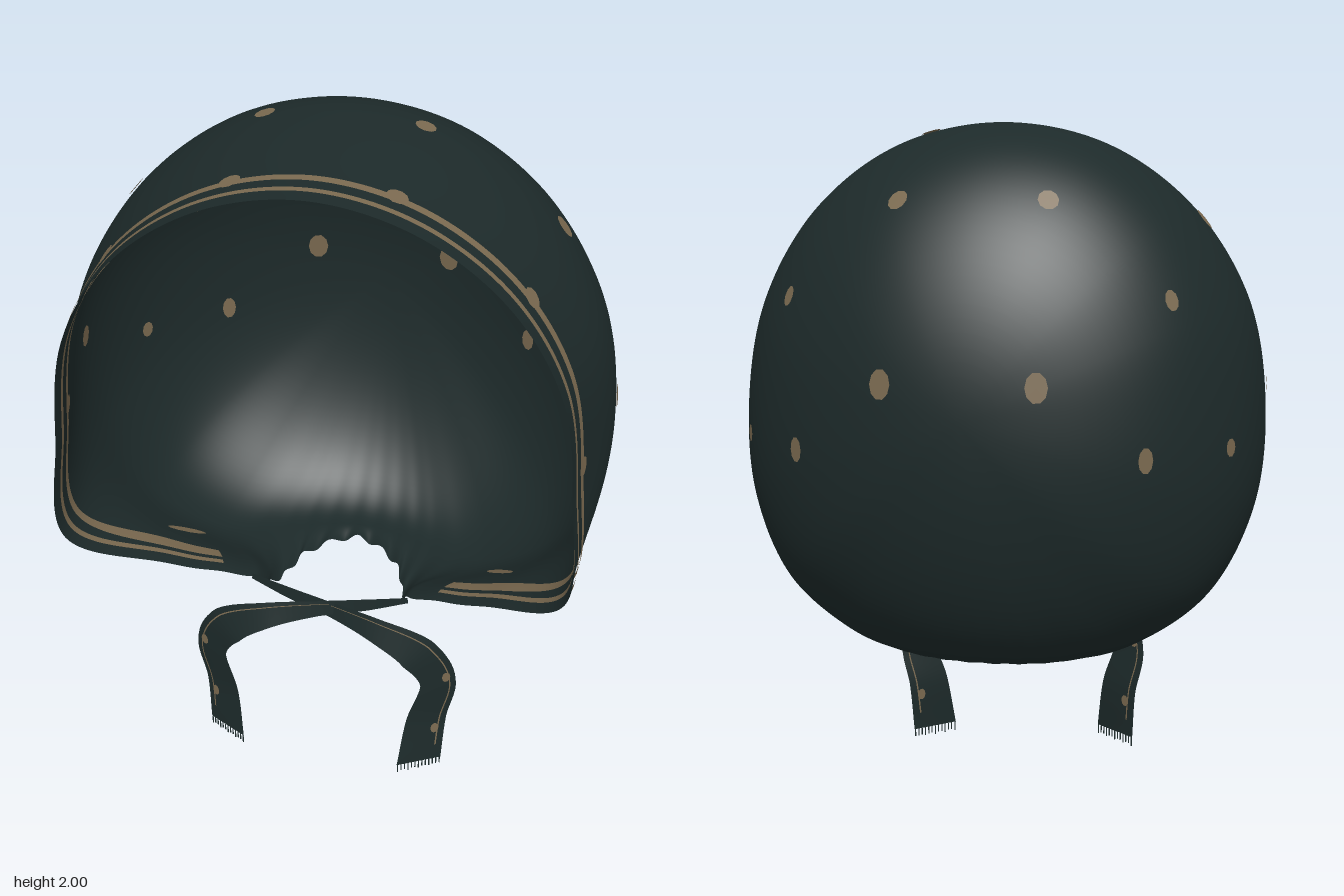
import * as THREE from 'three';
import { mergeGeometries, mergeVertices } from 'three/addons/utils/BufferGeometryUtils.js';

const V = (x, y, z) => new THREE.Vector3(x, y, z);

// Grid surface from fn(a, b), with a and b running 0..1
function grid(fn, na, nb) {
  const pos = [], idx = [];
  for (let i = 0; i <= na; i++) for (let j = 0; j <= nb; j++) {
    pos.push(...fn(i / na, j / nb).toArray());
    if (i < na && j < nb) {
      const p = i * (nb + 1) + j, q = p + nb + 1;
      idx.push(p, p + 1, q, q, p + 1, q + 1);
    }
  }
  let g = new THREE.BufferGeometry();
  g.setAttribute('position', new THREE.Float32BufferAttribute(pos, 3));
  g.setIndex(idx);
  g = mergeVertices(g, 1e-5);
  g.computeVertexNormals();
  return g;
}

// Closed curve from a half list running from the top to the bottom centre
function mirroredLoop(half) {
  const pts = half.map(p => V(...p));
  const other = pts.slice(1, -1).reverse().map(p => V(-p.x, p.y, p.z));
  return new THREE.CatmullRomCurve3([...pts, ...other], true);
}

// Widest line of the hood, and its open edge (face, cheeks, neck)
const girth = mirroredLoop([[0, 2, .05], [.3, 1.94, .055], [.548, 1.766, .07], [.716, 1.506, .09],
  [.775, 1.22, .08], [.755, .9, .05], [.63, .64, 0], [.42, .49, -.05], [.25, .455, -.13],
  [.13, .45, -.18], [0, .45, -.2]]);
const rim = mirroredLoop([[0, 1.975, .545], [.268, 1.916, .545], [.5, 1.75, .545], [.65, 1.5, .54],
  [.7, 1.18, .54], [.705, .855, .545], [.48, .67, .38], [.24, .57, .27], [.2, .45, .13],
  [.14, .44, -.04], [0, .44, -.14]]);
const POLE = V(0, 1.2, -.555);

// Hood surface: k = 0..20 around the loop, v = 0 back pole, 1 girth, 2 rim
function hood(k, v) {
  k = ((k % 20) + 20) % 20;
  const E = girth.getPoint(k / 20);
  let p = V();
  if (v <= 1) {
    const a = v * Math.PI / 2;
    p.set(E.x * Math.sin(a), 1.2 + (E.y - 1.2) * Math.sin(a), E.z + (POLE.z - E.z) * Math.cos(a));
  } else {
    const F = rim.getPoint(k / 20), dz = F.z - E.z;
    p = new THREE.CubicBezierCurve3(E, V(E.x, E.y, E.z + dz * .36), V(F.x, F.y, F.z - dz * .36), F)
      .getPoint(v - 1);
  }
  // gathers towards the neck
  const w = Math.max(0, 1 - Math.abs(k - 10) / 4.2);
  const r = .03 * w * (v / 2) ** 3 * Math.cos((k - 10) * 11);
  p.x *= 1 + r;
  p.y += r * .4;
  return p;
}

function normalAt(fn, a, b, e = .01) {
  const da = fn(a + e, b).sub(fn(a - e, b));
  const db = fn(a, b + e).sub(fn(a, b - e));
  return da.cross(db).normalize();
}

// Flat spot on both faces of a surface
function spot(point, normal, rx, ry) {
  return [1, -1].map(s => {
    const g = new THREE.CircleGeometry(1, 10);
    g.scale(rx, ry, 1);
    const n = normal.clone().multiplyScalar(s);
    const side = V(0, 1, 0).cross(n);
    if (side.length() < .05) side.set(1, 0, 0);
    side.normalize();
    const m = new THREE.Matrix4().makeBasis(side, n.clone().cross(side), n);
    m.setPosition(point.clone().addScaledVector(n, .005));
    return g.applyMatrix4(m);
  });
}

export function createModel() {
  const model = new THREE.Group();
  const cloth = new THREE.MeshStandardMaterial({ color: 0x1d2a2a, side: THREE.DoubleSide });
  cloth.name = 'dark green cloth';
  const tan = new THREE.MeshStandardMaterial({ color: 0x7b6a50, side: THREE.DoubleSide });
  tan.name = 'tan print';
  const add = (name, geo, mat, parent = model) => {
    const m = new THREE.Mesh(geo, mat);
    m.name = name;
    parent.add(m);
  };

  add('hood', grid((a, b) => hood(a * 20, b * 2), 400, 64), cloth);

  // Two printed bands behind the rim, on both faces; the inner one widens under the cheeks
  const behindRim = (k, d) => {
    const E = girth.getPoint(Math.abs(k) / 20), F = rim.getPoint(Math.abs(k) / 20);
    const len = E.distanceTo(F), z = 1 - d / len;
    // invert the smooth run of the curve from girth to rim
    let s = z;
    for (let i = 0; i < 6; i++) s += z - (1.08 * s * (1 - s) ** 2 + 1.92 * s * s * (1 - s) + s ** 3);
    return 1 + s;
  };
  const bands = [];
  for (const [d0, d1, flare] of [[.04, .06, 0], [.098, .124, .02]]) for (const s of [1, -1]) {
    bands.push(grid((a, b) => {
      const k = -6.6 + 13.2 * a;
      const wide = flare * THREE.MathUtils.smoothstep(Math.abs(k), 5, 6);
      const v = behindRim(k, d0 - wide + (d1 - d0 + wide) * b);
      return hood(k, v).addScaledVector(normalAt(hood, k, v), s * .005);
    }, 264, 2));
  }
  add('rimBands', mergeGeometries(bands), tan);

  // Scalloped half spots on the inner band
  const spots = [];
  for (const k of [.75, 2.2, 3.88]) for (const s of [1, -1]) {
    const v = behindRim(k, .122);
    spots.push(...spot(hood(s * k, v), normalAt(hood, s * k, v), .03, .029));
  }

  // Scattered spots, each moved to the nearest place on the hood: x, y, z, half width, half height
  const places = [[.205, 1.965, .05, .029, .029], [.59, 1.74, .05, .029, .034], [.775, 1.24, .1, .027, .034],
    [.215, 1.78, -.34, .029, .033], [.565, 1.52, -.32, .022, .03], [.205, 1.29, -.53, .031, .042],
    [.49, 1.1, -.4, .022, .036], [.69, 1.09, -.22, .02, .026], [.5, .57, .14, .018, .085]];
  for (const [x, y, z, rx, ry] of places) {
    let best = [9, 0, 0];
    const target = V(x, y, z);
    for (let k = 0; k < 10; k += .1) for (let v = .1; v < 1.95; v += .03) {
      const d = hood(k, v).distanceTo(target);
      if (d < best[0]) best = [d, k, v];
    }
    for (const k of [best[1], -best[1]])
      spots.push(...spot(hood(k, best[2]), normalAt(hood, k, best[2]), rx, ry));
  }
  add('spots', mergeGeometries(spots), tan);

  // Crossed ties with printed edge line, small marks and fringed ends
  const path = new THREE.CatmullRomCurve3([V(-.24, .575, .275), V(-.12, .56, .31), V(.02, .545, .345),
    V(.17, .52, .385), V(.29, .455, .385), V(.35, .34, .365), V(.32, .19, .375), V(.305, .03, .4)]);
  const widths = [.02, .04, .05, .08, .115, .1, .115, .125];
  for (const s of [1, -1]) {
    const tie = new THREE.Group();
    tie.name = s > 0 ? 'leftTie' : 'rightTie';
    const ribbon = (a, b) => {
      const t = THREE.MathUtils.clamp(a, 0, 1), i = Math.min(6, Math.floor(t * 7));
      const w = THREE.MathUtils.lerp(widths[i], widths[i + 1], t * 7 - i);
      const p = path.getPoint(t), d = path.getTangent(t);
      // the inner edge turns forward towards the loose end
      const out = V(-d.y, d.x, 0).normalize().setZ(-.6 * t);
      p.addScaledVector(out, w * (b - .5));
      p.x *= s;
      p.y += s < 0 ? .025 * t : 0;
      p.z += s < 0 ? .015 * (1 - t) : 0;
      return p;
    };
    add('ribbon', grid(ribbon, 60, 4), cloth, tie);
    const prints = [];
    for (const f of [1, -1]) prints.push(grid((a, b) => {
      const t = .25 + .7 * a, c = .8 + .035 * b;
      return ribbon(t, c).addScaledVector(normalAt(ribbon, t, c), f * .004);
    }, 50, 1));
    const marks = [];
    for (const t of [.7, .89])
      marks.push(...spot(ribbon(t, .74), normalAt(ribbon, t, .74), .013, .019));
    add('ribbonLine', mergeGeometries(prints), tan, tie);
    add('ribbonMarks', mergeGeometries(marks), tan, tie);
    const threads = [];
    for (let i = 0; i < 13; i++) {
      const h = i % 3 ? .024 : .03, g = new THREE.PlaneGeometry(.004, h);
      const p = ribbon(1, (i + .3) / 12.6);
      threads.push(g.translate(p.x, Math.max(p.y - h / 2, h / 2), p.z));
    }
    add('fringe', mergeGeometries(threads), cloth, tie);
    model.add(tie);
  }
  return model;
}
